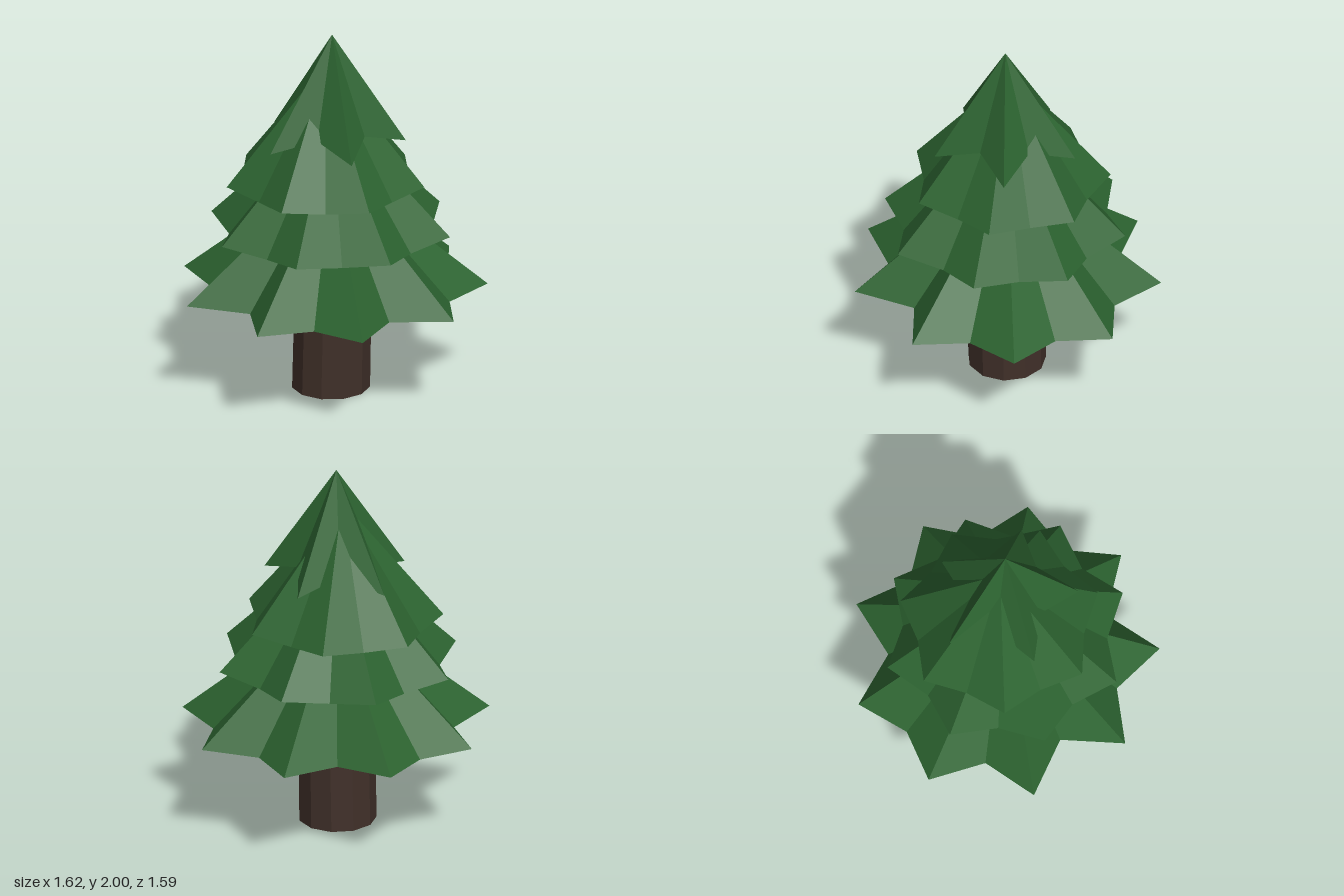
import * as THREE from 'three';

const leaf = new THREE.MeshStandardMaterial({ color: 0x2c6330, flatShading: true });
const bark = new THREE.MeshStandardMaterial({ color: 0x403029, flatShading: true });

// Each tier: a star-shaped cone with n points, the first at angle `turn` from +z
const tiers = [
  { name: 'bottomBranches', n: 9, turn: 0, r: 0.822, tipY: 0.57, valleyY: 0.56, apexY: 1.25, x: 0, z: -0.02,
    valleys: [0.655, 0.66, 0.64, 0.61, 0.68, 0.63, 0.575, 0.63, 0.58], tipMaterial: bark },
  { name: 'lowerBranches', n: 8, turn: Math.PI / 8, r: 0.655, tipY: 0.92, valleyY: 0.89, apexY: 1.58, x: -0.01, z: -0.02,
    valleys: [0.54], tipMaterial: leaf },
  { name: 'upperBranches', n: 7, turn: Math.PI, r: 0.535, tipY: 1.17, valleyY: 1.15, apexY: 1.83, x: -0.01, z: -0.055,
    valleys: [0.45], tipMaterial: leaf },
  { name: 'crownBranches', n: 5, turn: Math.PI, r: 0.39, tipY: 1.405, valleyY: 1.475, apexY: 2, x: -0.005, z: -0.015,
    valleys: [0.22], tipMaterial: leaf },
];

function triangles(name, corners, material) {
  const geometry = new THREE.BufferGeometry().setFromPoints(corners);
  geometry.computeVertexNormals();
  const mesh = new THREE.Mesh(geometry, material);
  mesh.name = name;
  return mesh;
}

function createTier(t) {
  const group = new THREE.Group();
  group.name = t.name;
  const at = (angle, r, y) => new THREE.Vector3(t.x + r * Math.sin(angle), y, t.z + r * Math.cos(angle));
  const apex = new THREE.Vector3(t.x, t.apexY, t.z);
  const base = new THREE.Vector3(t.x, t.valleyY, t.z);
  const step = (2 * Math.PI) / t.n;
  const valley = (i) => at(t.turn + (i + 0.5) * step, t.valleys[(i + t.n) % t.valleys.length], t.valleyY);

  const top = [], under = [], tips = [];
  for (let i = 0; i < t.n; i++) {
    const before = valley(i - 1), tip = at(t.turn + i * step, t.r, t.tipY), after = valley(i);
    top.push(apex, before, tip, apex, tip, after);
    under.push(base, after, before);
    tips.push(before, after, tip);
  }
  group.add(
    triangles('needles', top, leaf),
    triangles('underside', under, leaf),
    triangles('tipUndersides', tips, t.tipMaterial),
  );
  return group;
}

export function createModel() {
  const model = new THREE.Group();
  model.name = 'pineTree';

  // Slightly leaning trunk
  const geometry = new THREE.CylinderGeometry(0.205, 0.208, 0.62, 11);
  geometry.translate(0, 0.31, 0);
  const p = geometry.attributes.position;
  for (let i = 0; i < p.count; i++) p.setZ(i, p.getZ(i) + 0.025 * p.getY(i));
  geometry.computeVertexNormals();
  const trunk = new THREE.Mesh(geometry, bark);
  trunk.name = 'trunk';
  trunk.position.set(-0.003, 0, -0.025);
  model.add(trunk);

  for (const tier of tiers) model.add(createTier(tier));
  return model;
}
